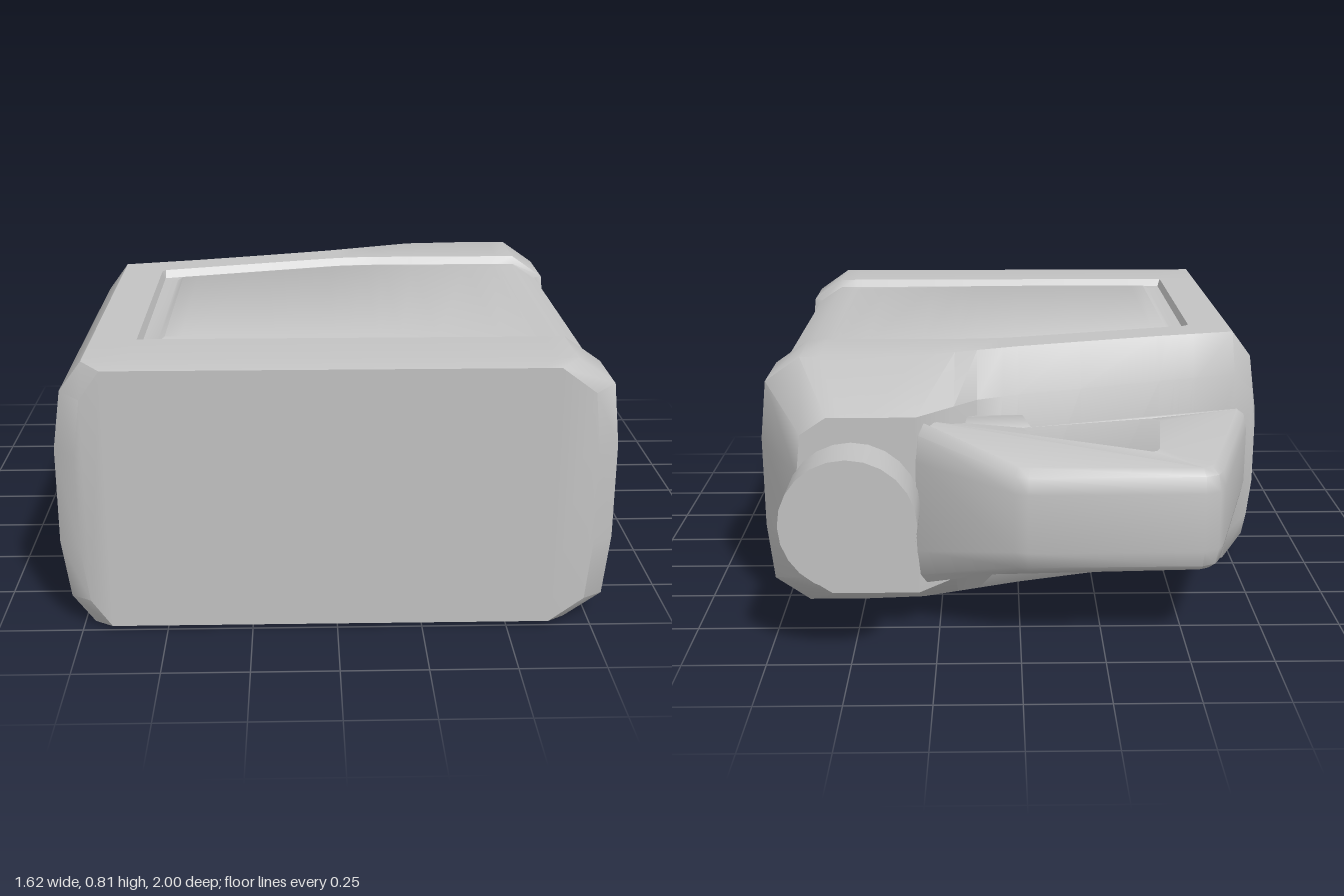
import * as THREE from 'three';
import { toCreasedNormals } from 'three/addons/utils/BufferGeometryUtils.js';

const MID = 0.408; // height of the jug's symmetry plane
const HALF = 0.407; // half thickness of the body

// Straight-line interpolation through [x, value] points
function along(points, x) {
  if (x <= points[0][0]) return points[0][1];
  for (let i = 1; i < points.length; i++) {
    const [x0, v0] = points[i - 1], [x1, v1] = points[i];
    if (x <= x1) return v0 + (v1 - v0) * (x - x0) / (x1 - x0);
  }
  return points[points.length - 1][1];
}

// Slanted lines across the jug, as z over x
const labelTop = x => along([[-0.81, -0.04], [-0.58, -0.1], [0.03, -0.27], [0.15, -0.285]], x);
const panelTop = x => along([[-0.52, -0.06], [0.05, -0.215], [0.2, -0.23]], x);
const shoulder = x => along([[-0.81, -0.18], [-0.4, -0.28], [0, -0.4], [0.35, -0.53]], x);
const topEdge = x => along([[-0.81, -0.25], [-0.46, -0.365], [0, -0.52], [0.13, -0.58], [0.31, -0.77]], x);

// Half cross-section from the right side over the upper face to the left side
const section = [
  [-0.81, 0.145], [-0.785, 0.32], [-0.72, HALF],
  ...[-0.585, -0.575, -0.53, -0.51, -0.46, -0.2, 0, 0.05, 0.13, 0.2, 0.31, 0.5, 0.6, 0.62, 0.68].map(x => [x, HALF]),
  [0.79, 0.33], [0.81, 0.145],
];

// Surface rules for the rows: each maps a section point to its final x, y
const full = (x, y) => [x, y];
const base = (x, y) => [x * 0.92, y * 0.97];
const recess = (x, y) => {
  if (x > 0.7) return [x - 0.028, y];
  return [x, x > -0.58 ? y - 0.025 : y];
};
const panel = (x, y) => {
  const [px, py] = recess(x, y);
  const raised = x > -0.52 && x < 0.61 ? along([[0.1, 0.012], [0.6, 0.002]], x) : 0;
  return [px, py + raised];
};
const taper = (x, y) => [x > 0.31 ? 0.31 + (x - 0.31) * 0.72 : Math.max(x, -0.8), y * 0.69];

function bodyGeometry() {
  const rows = [
    [() => 1, base], [() => 0.945, full], [() => 0.735, full],
    [() => 0.715, recess], [() => 0.685, recess], [() => 0.667, panel],
    [panelTop, panel], [x => panelTop(x) - 0.015, recess],
    [x => labelTop(x) + 0.008, recess], [x => labelTop(x) - 0.01, full],
    [shoulder, full], [topEdge, taper],
  ];
  const n = section.length, loop = n * 2;
  const positions = [], index = [];
  const quad = (a, b, c, d) => index.push(a, b, c, a, c, d);

  for (const [zAt, shape] of rows) {
    const half = section.map(([x, y]) => [...shape(x, y), zAt(x)]);
    for (const [x, y, z] of half) positions.push(x, MID + y, z);
    for (const [x, y, z] of half.reverse()) positions.push(x, MID - y, z);
  }
  // Skin between neighbouring rows
  for (let r = 0; r < rows.length - 1; r++) {
    for (let i = 0; i < loop; i++) {
      const j = (i + 1) % loop, a = r * loop, b = a + loop;
      quad(a + i, a + j, b + j, b + i);
    }
  }
  // Flat base and stepped top, each joining upper points to lower points
  const last = (rows.length - 1) * loop;
  for (let i = 0; i < n - 1; i++) {
    const lo = loop - 1 - i;
    quad(lo, lo - 1, i + 1, i);
    quad(last + i, last + i + 1, last + lo - 1, last + lo);
  }
  const geometry = new THREE.BufferGeometry();
  geometry.setAttribute('position', new THREE.Float32BufferAttribute(positions, 3));
  geometry.setIndex(index);
  return toCreasedNormals(geometry, 0.75);
}

function handleGeometry() {
  const points = list => list.map(([x, z]) => new THREE.Vector2(x, -z));
  const shape = new THREE.Shape(points([
    [-0.775, -0.22], [-0.765, -0.29], [-0.605, -0.86], [-0.585, -0.9], [-0.54, -0.922],
    [-0.02, -0.927], [0.02, -0.915], [0.31, -0.775], [0.36, -0.7], [0.2, -0.47], [-0.4, -0.26],
  ]));
  shape.holes.push(new THREE.Path(points([
    [-0.495, -0.41], [-0.46, -0.71], [-0.445, -0.75], [-0.41, -0.77], [-0.09, -0.75],
    [-0.05, -0.73], [-0.03, -0.69], [0, -0.57], [0.03, -0.5], [-0.46, -0.34],
  ])));
  const geometry = new THREE.ExtrudeGeometry(shape, {
    depth: 0.18, bevelThickness: 0.07, bevelSize: 0.035, bevelOffset: -0.035, bevelSegments: 2,
  });
  geometry.translate(0, 0, -0.09);
  geometry.rotateX(-Math.PI / 2);
  // Flare the thickness where the handle meets the neck
  const p = geometry.attributes.position;
  for (let i = 0; i < p.count; i++) {
    const nearNeck = THREE.MathUtils.clamp((p.getX(i) + 0.05) / 0.3, 0, 1);
    const nearBody = THREE.MathUtils.clamp((p.getZ(i) + 0.92) / 0.15, 0, 1);
    p.setY(i, p.getY(i) * (1 + 0.6 * nearNeck * nearBody));
  }
  return toCreasedNormals(geometry, 0.75);
}

// Turned part with its axis along -z, from [radius, distance] points
function turned(profile) {
  const geometry = new THREE.LatheGeometry(profile.map(([r, d]) => new THREE.Vector2(r, d)), 24);
  geometry.rotateX(-Math.PI / 2);
  return toCreasedNormals(geometry, 0.6);
}

export function createModel() {
  const plastic = new THREE.MeshStandardMaterial({ color: 0xc2c2c2 });
  plastic.name = 'grey plastic';

  const model = new THREE.Group();
  model.name = 'jug';
  const add = (name, geometry, x = 0, y = 0, z = 0) => {
    const mesh = new THREE.Mesh(geometry, plastic);
    mesh.name = name;
    mesh.position.set(x, y, z);
    model.add(mesh);
  };

  add('body', bodyGeometry());
  add('handle', handleGeometry(), 0, MID, 0);
  add('neck', turned([[0.175, 0.72], [0.175, 0.775], [0.165, 0.79], [0.165, 0.83]]), 0.497, 0.433, 0);
  add('cap', turned([[0, 0.808], [0.178, 0.808], [0.2, 0.835], [0.2, 1], [0, 1]]), 0.497, 0.433, 0);
  return model;
}
